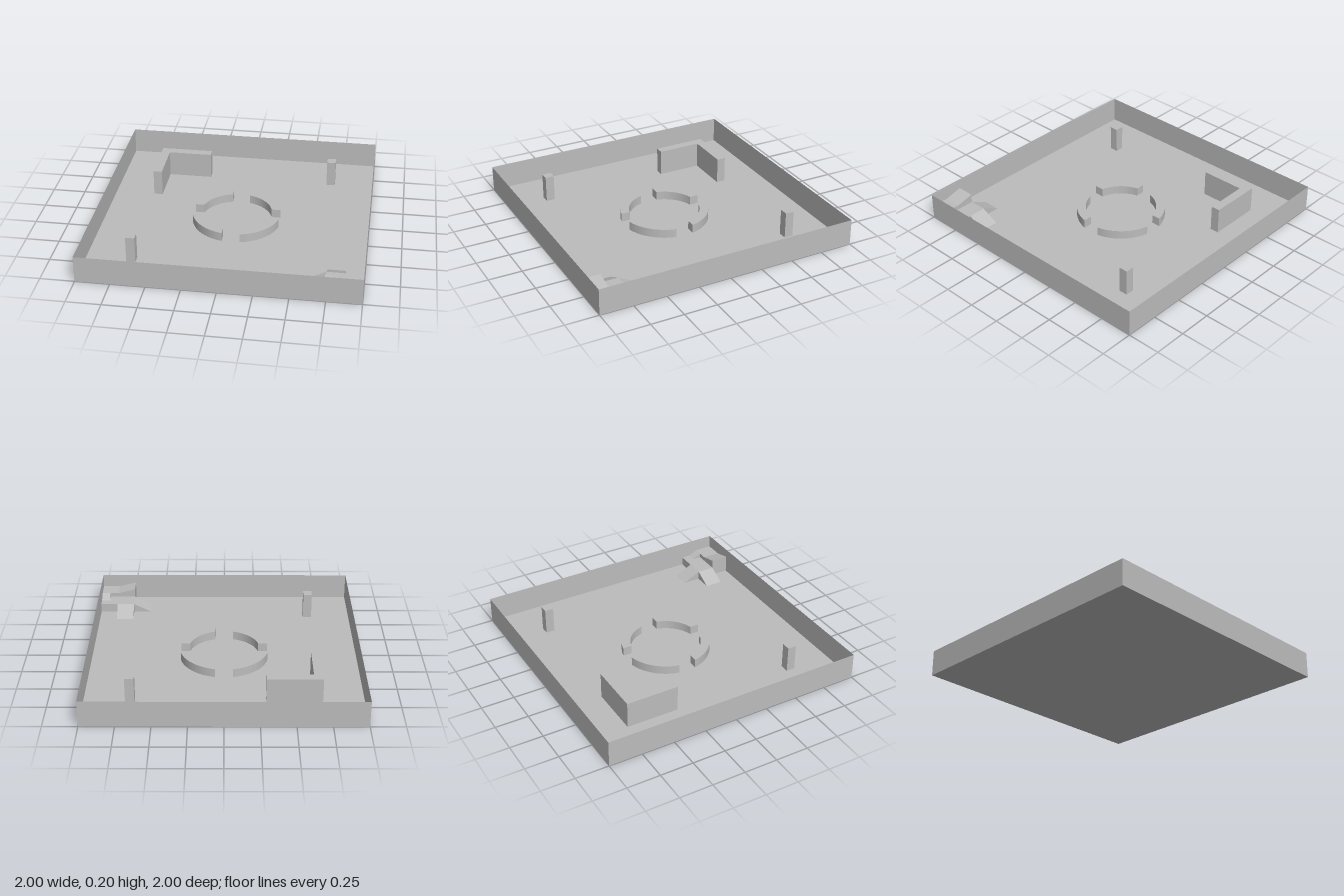
import * as THREE from 'three';

const U = 1 / 15; // one grid unit: the arena is 30 x 30 units, walls 3 high

export function createModel() {
  const root = new THREE.Group();
  const grey = new THREE.MeshStandardMaterial({ color: 0xbcbcbc, side: THREE.DoubleSide });
  grey.name = 'plainGrey';

  const add = (name, geometry) => {
    const mesh = new THREE.Mesh(geometry, grey);
    mesh.name = name;
    root.add(mesh);
    return mesh;
  };

  // Block on the floor whose top follows a height rule (units)
  const block = (name, x0, x1, z0, z1, height) => {
    const geo = new THREE.BoxGeometry(x1 - x0, 1, z1 - z0);
    geo.translate((x0 + x1) / 2, 0.5, (z0 + z1) / 2);
    const p = geo.attributes.position;
    for (let i = 0; i < p.count; i++) {
      if (p.getY(i) > 0.5) p.setY(i, height(p.getX(i), p.getZ(i)));
    }
    geo.scale(U, U, U);
    geo.computeVertexNormals();
    return add(name, geo);
  };

  // Upright extrusion of a plan shape
  const extrude = (name, shape, height) => {
    const geo = new THREE.ExtrudeGeometry(shape, { depth: height, bevelEnabled: false, curveSegments: 10 });
    geo.rotateX(-Math.PI / 2);
    geo.scale(U, U, U);
    return add(name, geo);
  };

  // Floor and four thin outer walls
  add('floor', new THREE.PlaneGeometry(2, 2).rotateX(-Math.PI / 2));
  ['frontWall', 'leftWall', 'backWall', 'rightWall'].forEach((name, i) => {
    add(name, new THREE.PlaneGeometry(2, 0.2).translate(0, 0.1, 1).rotateY(i * Math.PI / 2));
  });

  // L-shaped inner wall in the back right corner
  const ell = new THREE.Shape([
    [-10.5, 10.5], [-10.5, 4.5], [-9.5, 4.5], [-9.5, 9.5], [-4.5, 9.5], [-4.5, 10.5],
  ].map(([x, y]) => new THREE.Vector2(x, y)));
  extrude('cornerWall', ell, 3);

  // Two square posts
  block('frontPost', -10.5, -9.5, 9.5, 10.5, () => 3);
  block('backPost', 9.5, 10.5, -10.5, -9.5, () => 3);

  // Low ring cut into four arcs by two straight passages
  const outer = Math.asin(1 / 5), inner = Math.asin(1 / 4), q = Math.PI / 2;
  for (let i = 0; i < 4; i++) {
    const arc = new THREE.Shape();
    arc.absarc(0, 0, 5, outer, q - outer, false);
    arc.absarc(0, 0, 4, q - inner, inner, true);
    arc.closePath();
    extrude('ringArc', arc, 1).rotation.y = i * q;
  }

  // Raised platform with ramps in the front left corner
  block('platformCentre', 11, 13, 11, 13, () => 1);
  block('platformSide', 13, 15, 11, 13, () => 1);
  block('backRamp', 11, 13, 9, 11, (x, z) => (z - 9) / 2);
  block('rightRamp', 9, 11, 11, 13, (x) => (x - 9) / 2);
  block('smallRamp', 14, 15, 12, 13, (x, z) => 1 + (z - 12) / 2);
  block('upperPlatform', 13, 15, 13, 15, () => 1.5);
  block('upperRamp', 11, 13, 13, 15, (x) => 2 - (x - 11) / 4);

  return root;
}
